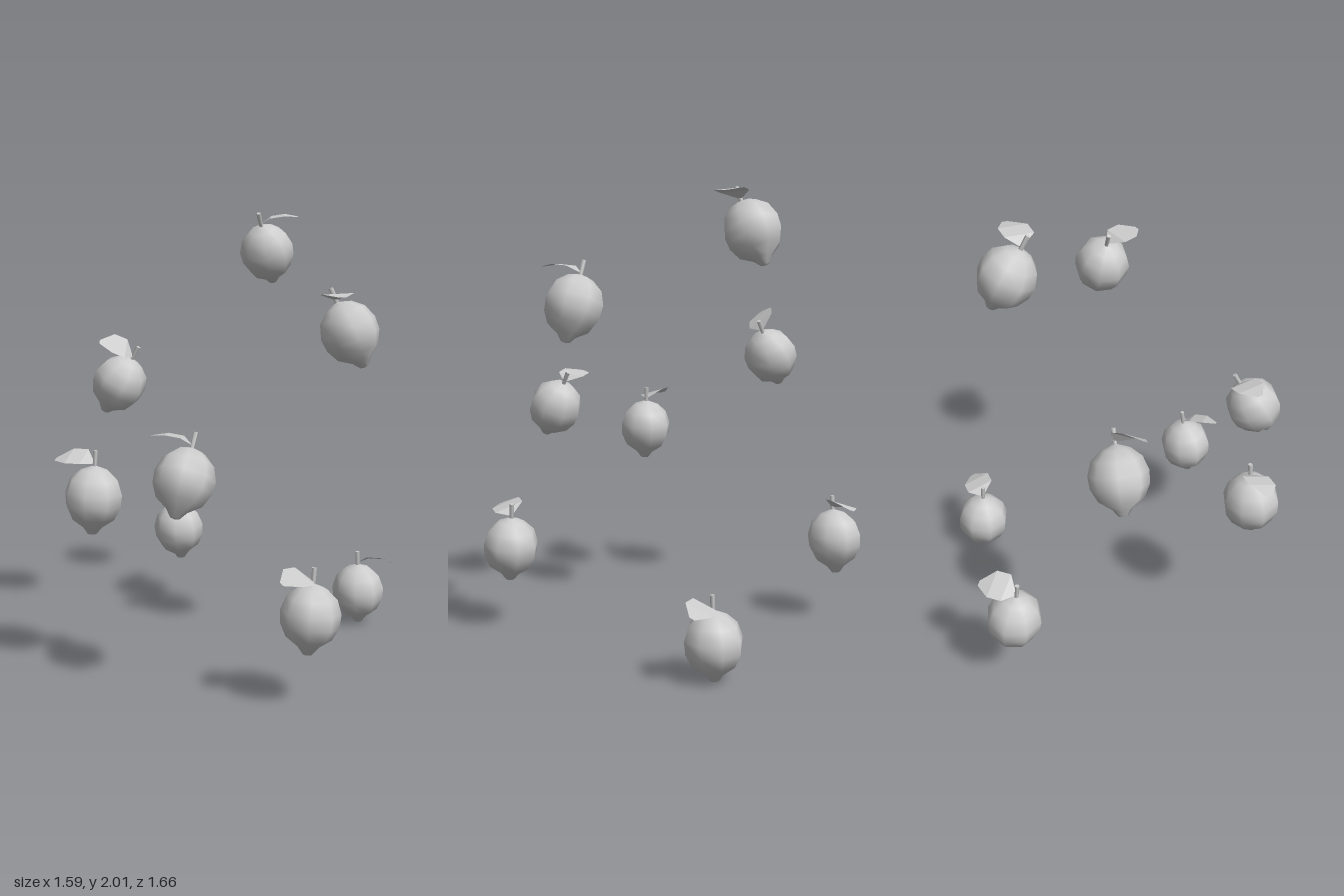
import * as THREE from 'three';

const material = new THREE.MeshStandardMaterial({ color: 0xcccccc });
const leafMaterial = new THREE.MeshStandardMaterial({
  color: 0xcccccc, flatShading: true, side: THREE.DoubleSide,
});

// Fruit profile, bottom nipple to stem end, as [radius, height from the middle]
const profile = [
  [0, -0.157], [0.02, -0.152], [0.043, -0.122], [0.095, -0.085], [0.122, -0.03],
  [0.126, 0.025], [0.105, 0.085], [0.06, 0.125], [0.012, 0.142], [0, 0.143],
].map(([r, y]) => new THREE.Vector2(r, y));

// Leaf cross-sections as [distance from stem, half width, rise]
const leafSections = [
  [0.004, 0.006, 0], [0.05, 0.062, 0.024], [0.115, 0.062, 0.022], [0.176, 0.012, 0.002],
];
const leafRoll = 0.38; // one long edge sits higher than the other

function leafGeometry() {
  const positions = [], index = [];
  leafSections.forEach(([s, half, rise], i) => {
    for (const w of [-half, half]) positions.push(s, rise + w * leafRoll, w);
    if (i > 0) {
      const a = 2 * i - 2;
      index.push(a, a + 1, a + 2, a + 1, a + 3, a + 2);
    }
  });
  const geometry = new THREE.BufferGeometry();
  geometry.setAttribute('position', new THREE.Float32BufferAttribute(positions, 3));
  geometry.setIndex(index);
  geometry.computeVertexNormals();
  return geometry;
}

// Each fruit: middle, direction of its stem, and direction of its leaf in plan [x, z]
const fruits = [
  { at: [0.625, 0.16, -0.33], up: [-0.03, 1, 0.04], leaf: [0.97, 0.25] },
  { at: [-0.635, 0.815, 0.32], up: [0.06, 1, -0.05], leaf: [-0.97, -0.25] },
  { at: [0.255, 0.395, 0.705], up: [0.08, 1, -0.08], leaf: [-0.8, 0.6] },
  { at: [-0.255, 0.395, -0.705], up: [-0.08, 1, 0.08], leaf: [0.8, -0.6] },
  { at: [-0.255, 0.965, 0.67], up: [0.25, 0.87, -0.42], leaf: [-0.99, -0.12] },
  { at: [0.17, 1.825, -0.387], up: [-0.23, 0.88, 0.4], leaf: [0.99, 0.12] },
  { at: [0.462, 1.515, 0.315], up: [-0.4, 0.91, -0.1], leaf: [0.05, 1] },
  { at: [-0.54, 1.212, -0.343], up: [0.46, 0.86, 0.2], leaf: [-0.97, 0.15] },
];

export function createModel() {
  const model = new THREE.Group();
  model.name = 'floatingFruits';

  const bodyShape = new THREE.LatheGeometry(profile, 8);
  const stemShape = new THREE.CylinderGeometry(0.011, 0.009, 0.085, 5).translate(0, 0.167, 0);
  const leafShape = leafGeometry().translate(0, 0.155, 0);
  const vertical = new THREE.Vector3(0, 1, 0);

  for (const { at, up, leaf } of fruits) {
    const fruit = new THREE.Group();
    fruit.name = 'fruit';
    const parts = [
      ['fruitBody', bodyShape, material],
      ['stem', stemShape, material],
      ['leaf', leafShape, leafMaterial],
    ];
    for (const [name, shape, mat] of parts) {
      const mesh = new THREE.Mesh(shape, mat);
      mesh.name = name;
      fruit.add(mesh);
    }
    // Turn the leaf to its direction, then lean the whole fruit
    const yaw = new THREE.Quaternion().setFromAxisAngle(vertical, -Math.atan2(leaf[1], leaf[0]));
    const lean = new THREE.Quaternion().setFromUnitVectors(
      vertical, new THREE.Vector3(...up).normalize());
    fruit.quaternion.copy(lean.multiply(yaw));
    fruit.position.set(...at);
    model.add(fruit);
  }
  return model;
}
